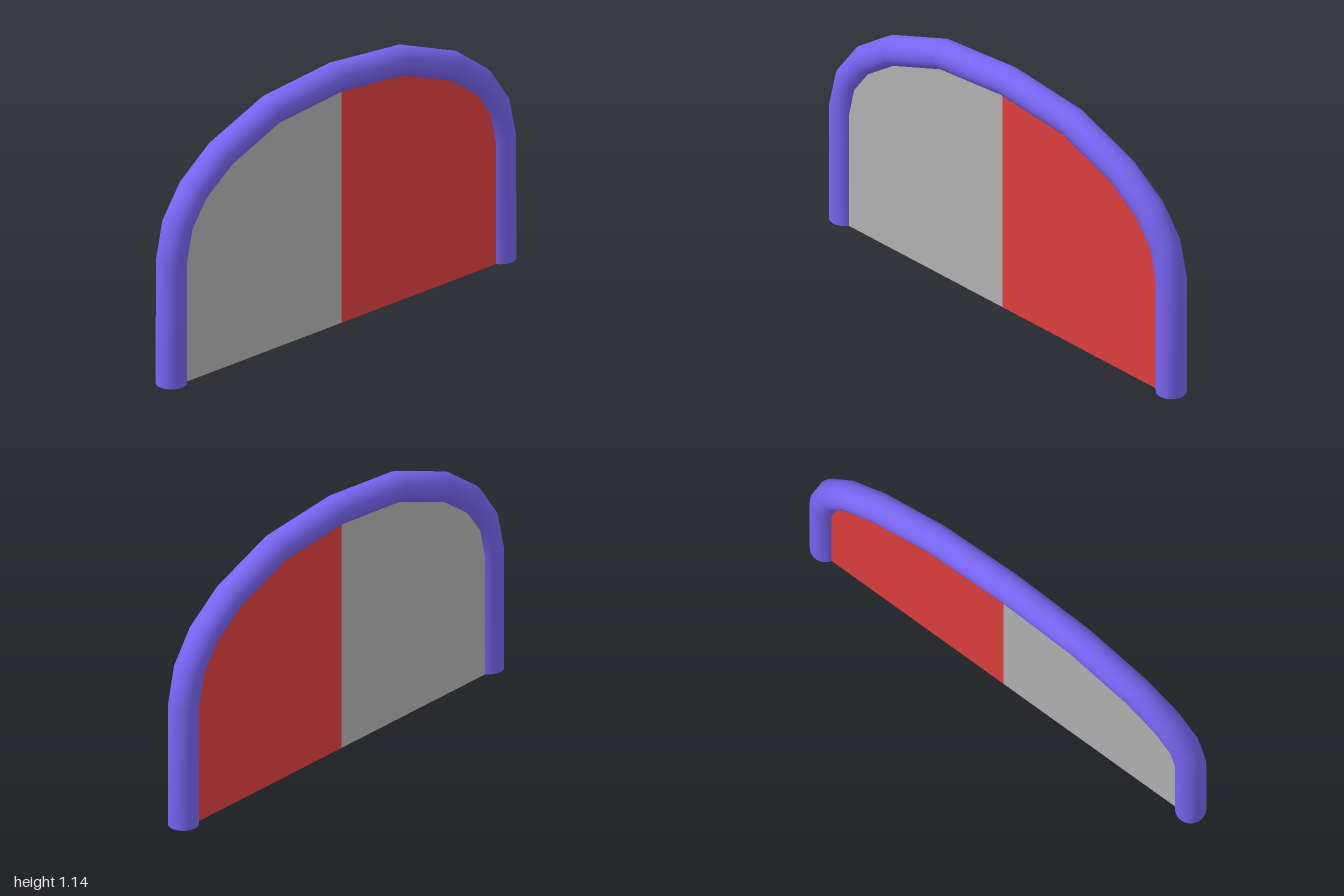
import * as THREE from 'three';

// Centre line of the right-hand half of the frame, from the foot to the crown
const HALF = [[0.936, 0], [0.936, 0.54], [0.902, 0.692], [0.812, 0.82], [0.655, 0.935], [0.367, 1.046], [0, 1.08]];
const RADIUS = 0.064;
const PANEL_DEPTH = 0.062;

// Polyline whose rings sit on its corners, each turned to the average direction
class CornerPath extends THREE.Curve {
  constructor(points) {
    super();
    this.points = points;
  }
  getPointAt(u, target = new THREE.Vector3()) {
    return target.copy(this.points[Math.round(u * (this.points.length - 1))]);
  }
  getTangentAt(u, target = new THREE.Vector3()) {
    const p = this.points, i = Math.round(u * (p.length - 1));
    target.set(0, 0, 0);
    if (i > 0) target.add(p[i].clone().sub(p[i - 1]).normalize());
    if (i < p.length - 1) target.add(p[i + 1].clone().sub(p[i]).normalize());
    return target.normalize();
  }
}

export function createModel() {
  const group = new THREE.Group();
  group.name = 'archedPanel';

  // Open-ended tubular arch
  const mirrored = HALF.slice(0, -1).reverse().map(([x, y]) => [-x, y]);
  const path = [...HALF, ...mirrored].map(([x, y]) => new THREE.Vector3(x, y, 0));
  const frame = new THREE.Mesh(
    new THREE.TubeGeometry(new CornerPath(path), path.length - 1, RADIUS, 32),
    new THREE.MeshStandardMaterial({ color: 0x7764f0, side: THREE.DoubleSide })
  );
  frame.name = 'archFrame';
  group.add(frame);

  // Two half panels meeting on the centre line, edges hidden inside the tube
  for (const [name, side, color] of [['leftPanel', 1, 0xe04040], ['rightPanel', -1, 0xb4b4b4]]) {
    const outline = [[0, 0], ...HALF].map(([x, y]) => new THREE.Vector2(side * x, y));
    const geometry = new THREE.ExtrudeGeometry(new THREE.Shape(outline), { depth: PANEL_DEPTH, bevelEnabled: false });
    geometry.translate(0, 0, -PANEL_DEPTH / 2);
    const panel = new THREE.Mesh(geometry, new THREE.MeshStandardMaterial({ color }));
    panel.name = name;
    group.add(panel);
  }
  return group;
}
